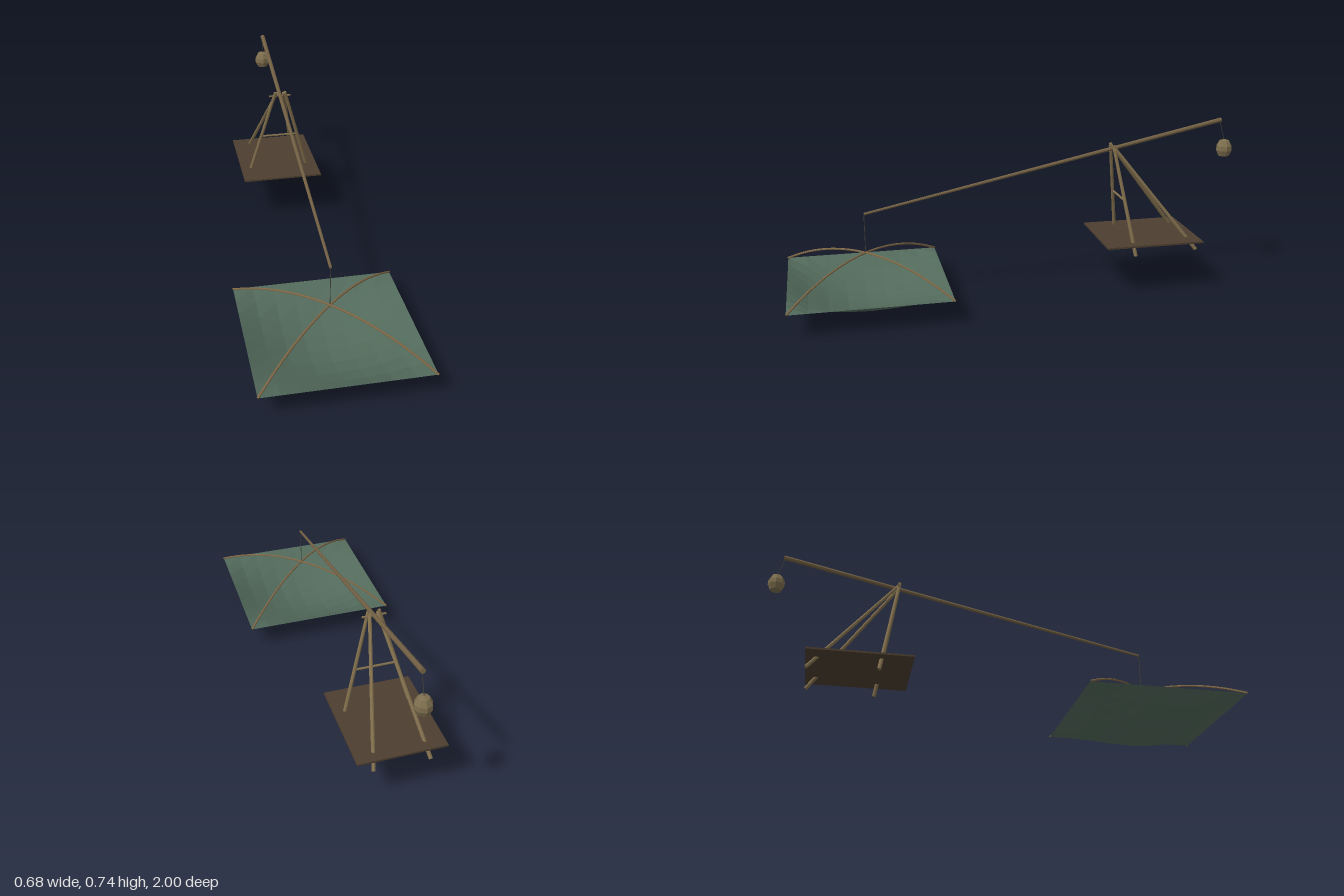
import * as THREE from 'three';

const mat = (name, color, extra = {}) => {
  const m = new THREE.MeshStandardMaterial({ color, flatShading: true, ...extra });
  m.name = name;
  return m;
};
const V = (x, y, z) => new THREE.Vector3(x, y, z);

export function createModel() {
  const group = new THREE.Group();
  const pole = mat('pole wood', 0x806e4c);
  const beamWood = mat('beam wood', 0x715f43);
  const armWood = mat('arm wood', 0x7d6645);
  const plank = mat('plank wood', 0x4d3e2f);
  const cord = mat('cord', 0x45423a);
  const netMat = mat('net green', 0x526a5b, { side: THREE.DoubleSide });
  const stoneMat = mat('stone', 0x7d6e4e);

  const add = (name, geometry, material) => {
    const mesh = new THREE.Mesh(geometry, material);
    mesh.name = name;
    group.add(mesh);
    return mesh;
  };
  // Round bar from a to b, with its own radius at each end
  const bar = (name, a, b, ra, rb, material, sides = 8) => {
    const d = b.clone().sub(a);
    const mesh = add(name, new THREE.CylinderGeometry(rb, ra, d.length(), sides), material);
    mesh.position.copy(a).addScaledVector(d, 0.5);
    mesh.quaternion.setFromUnitVectors(V(0, 1, 0), d.normalize());
  };

  // Square net, level at the rim and sagging in the middle
  const half = 0.337, netZ = 0.66, rimY = 0.11, sag = 0.106;
  const net = new THREE.PlaneGeometry(2 * half, 2 * half, 8, 8).rotateX(-Math.PI / 2);
  const p = net.attributes.position;
  for (let i = 0; i < p.count; i++) {
    const u = p.getX(i) / half, v = p.getZ(i) / half;
    p.setY(i, -sag * (1 - u * u) * (1 - v * v));
  }
  net.computeVertexNormals();
  add('net', net, netMat).position.set(0, rimY, netZ);

  // Two bowed arms, corner to corner over the net
  for (const s of [-1, 1]) {
    const path = new THREE.CurvePath();
    const pts = [];
    for (let i = 0; i <= 10; i++) {
      const t = i / 5 - 1;
      pts.push(V(t * half, rimY + 0.118 * (1 - t * t), netZ + s * t * half));
    }
    for (let i = 0; i < 10; i++) path.add(new THREE.LineCurve3(pts[i], pts[i + 1]));
    add('netArm', new THREE.TubeGeometry(new THREE.CatmullRomCurve3(pts), 20, 0.0047, 6), armWood);
  }
  bar('netRope', V(0, 0.228, netZ), V(0, 0.40, netZ), 0.0016, 0.0016, cord, 5);

  // Tapered lifting beam
  bar('beam', V(0, 0.401, 0.66), V(0, 0.738, -0.94), 0.0058, 0.0105, beamWood);

  // Trestle: steep front legs, raking back legs
  for (const s of [-1, 1]) {
    bar('frontLeg', V(s * 0.151, 0.175, -0.508), V(s * 0.022, 0.65, -0.432), 0.0085, 0.0075, pole);
    bar('backLeg', V(s * 0.117, 0.175, -0.802), V(s * 0.016, 0.645, -0.432), 0.0085, 0.0075, pole);
  }
  bar('legBrace', V(-0.08, 0.411, -0.473), V(0.08, 0.411, -0.473), 0.005, 0.005, pole);
  bar('axle', V(-0.05, 0.631, -0.437), V(0.05, 0.631, -0.437), 0.0045, 0.0045, pole);

  // Platform
  add('platform', new THREE.BoxGeometry(0.37, 0.008, 0.44), plank).position.set(0, 0.23, -0.588);

  // Counterweight stone on its rope
  bar('weightRope', V(0, 0.733, -0.935), V(0, 0.645, -0.96), 0.0016, 0.0016, cord, 5);
  const profile = [[0, -0.038], [0.025, -0.037], [0.036, -0.012], [0.035, 0.008], [0.022, 0.032], [0, 0.039]]
    .map(([r, y]) => new THREE.Vector2(r, y));
  add('counterweight', new THREE.LatheGeometry(profile, 8), stoneMat).position.set(0, 0.61, -0.962);

  return group;
}
